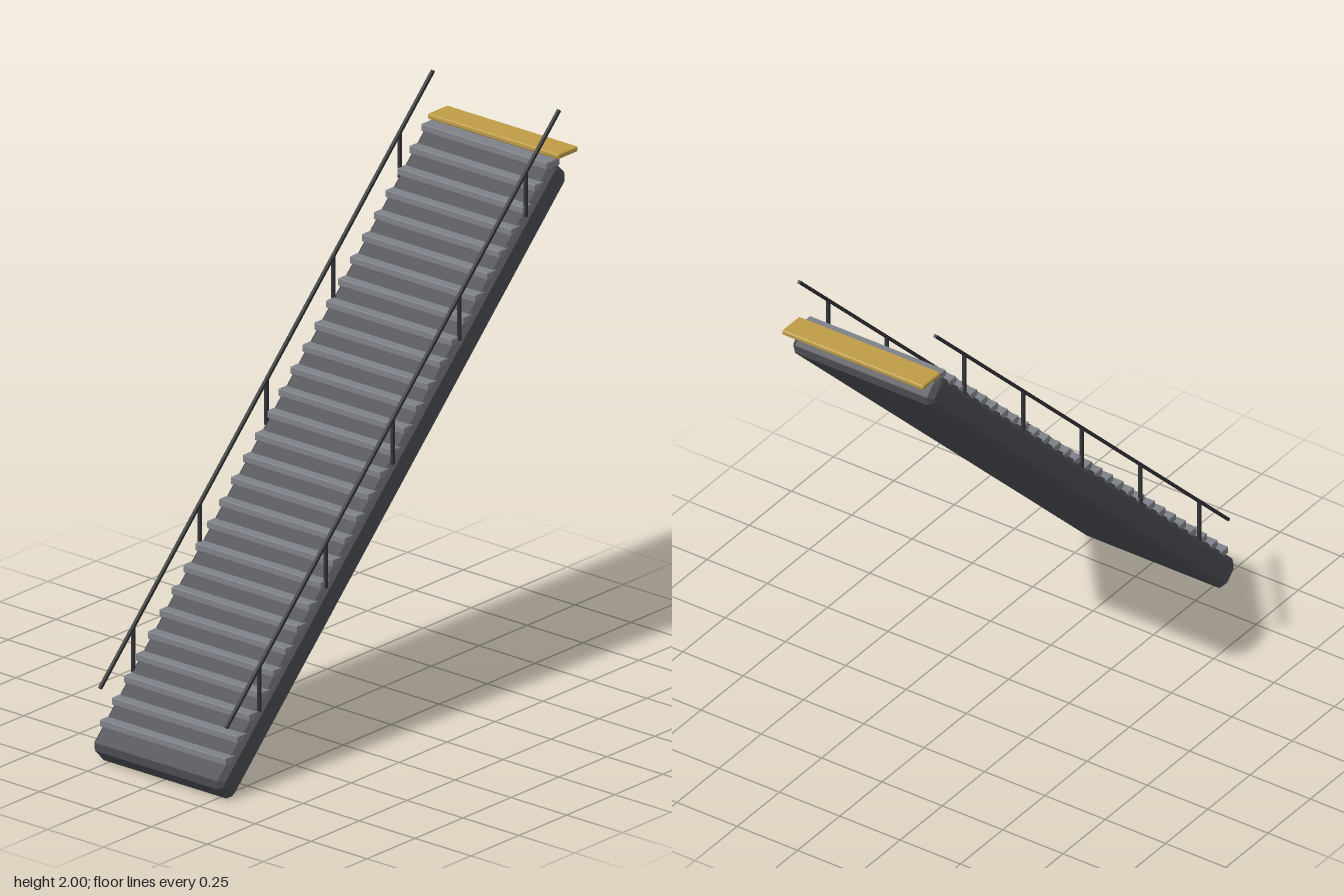
import * as THREE from 'three';

const dark = new THREE.MeshStandardMaterial({ color: 0x4a4b50, flatShading: true });
const treadGrey = new THREE.MeshStandardMaterial({ color: 0x7e8188, flatShading: true });
const railDark = new THREE.MeshStandardMaterial({ color: 0x333438, flatShading: true });
const gold = new THREE.MeshStandardMaterial({ color: 0xbe9c46, flatShading: true });

// Box with a single flat chamfer on every edge, centred on the origin
function chamferBox(w, h, d, c) {
  const x = w / 2, y = h / 2;
  const shape = new THREE.Shape([
    [x - c, -y], [x, c - y], [x, y - c], [x - c, y],
    [c - x, y], [-x, y - c], [-x, c - y], [c - x, -y],
  ].map(([a, b]) => new THREE.Vector2(a, b)));
  const b = c * 0.9;
  const geo = new THREE.ExtrudeGeometry(shape, {
    depth: d - 2 * b, bevelEnabled: true, bevelThickness: b, bevelSize: b, bevelOffset: -b, bevelSegments: 1,
  });
  return geo.translate(0, 0, b - d / 2);
}

export function createModel() {
  const model = new THREE.Group();
  model.name = 'staircase';

  function add(parent, name, geo, mat, x, y, z = 0) {
    const mesh = new THREE.Mesh(geo, mat);
    mesh.name = name;
    mesh.position.set(x, y, z);
    parent.add(mesh);
    return mesh;
  }

  // Sloping body
  add(model, 'slopingBody', chamferBox(2.49, 0.11, 0.584, 0.021), dark, -0.03, 0.905)
    .rotation.z = Math.PI / 4;

  // Treads
  const treads = new THREE.Group();
  treads.name = 'treads';
  model.add(treads);
  const treadGeo = chamferBox(0.07, 0.026, 0.562, 0.002);
  for (let i = 0; i < 28; i++) {
    add(treads, 'tread', treadGeo, treadGrey, -0.865 + i * 0.062, 0.138 + i * 0.062);
  }

  // Landing plate at the top
  add(model, 'landingPlate', chamferBox(0.104, 0.019, 0.586, 0.004), gold, 0.873, 1.836);

  // Handrails with posts, one on each side
  const railGeo = new THREE.BoxGeometry(2.455, 0.011, 0.011);
  const postGeo = new THREE.BoxGeometry(0.011, 0.165, 0.011);
  for (const side of [1, -1]) {
    const rail = new THREE.Group();
    rail.name = side > 0 ? 'frontHandrail' : 'backHandrail';
    model.add(rail);
    add(rail, 'rail', railGeo, railDark, -0.03, 1.132, side * 0.282).rotation.z = Math.PI / 4;
    for (let i = 0; i < 5; i++) {
      const x = -0.725 + i * 0.3475;
      add(rail, 'post', postGeo, railDark, x, x + 1.08, side * 0.282);
    }
  }
  return model;
}
